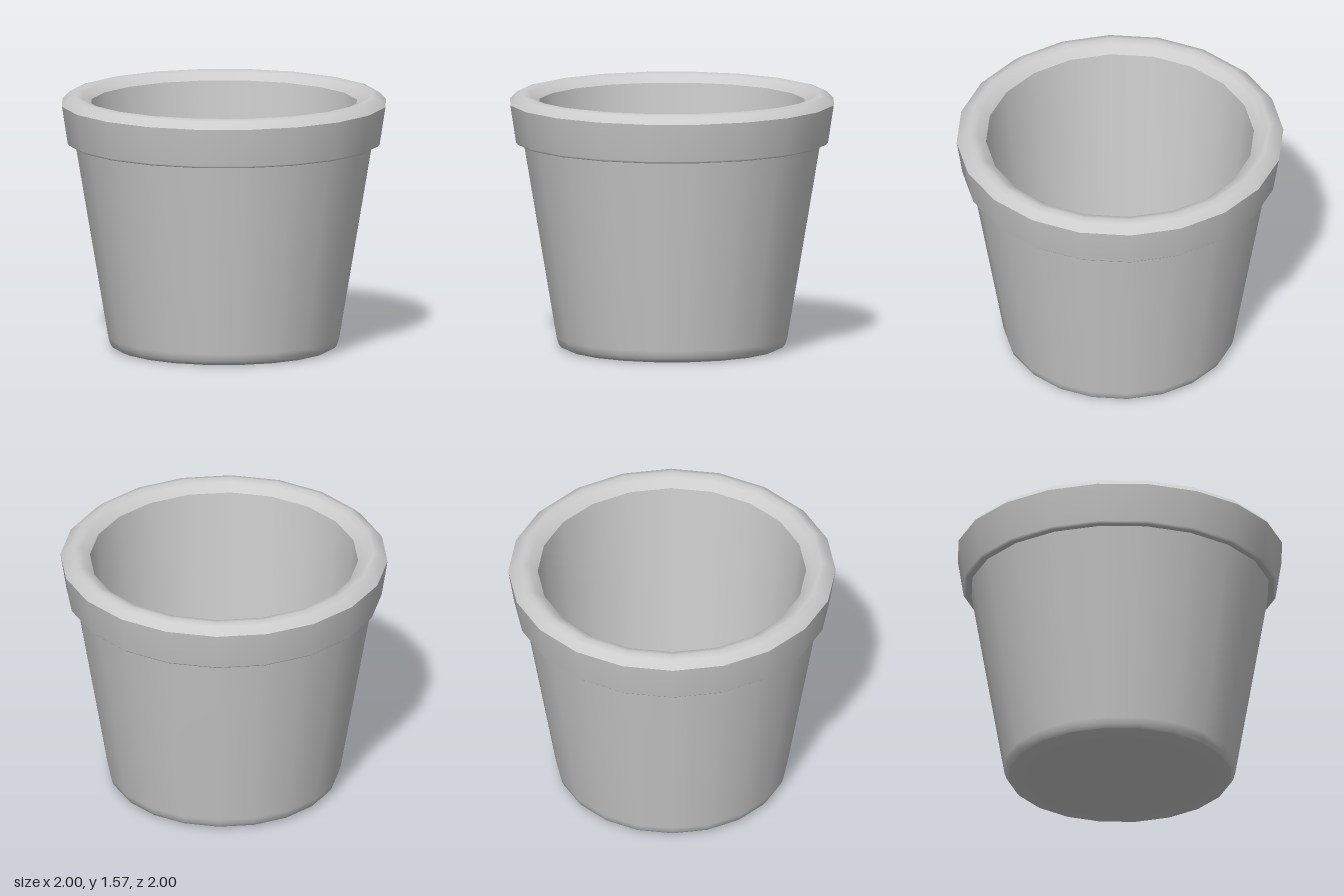
import * as THREE from 'three';

const SIDES = 20;
const FLOOR_Y = 0.1;
const material = new THREE.MeshStandardMaterial({ color: 0xcccccc });

// One smooth band of the pot; hard edges fall between bands.
function band(name, profile) {
  const points = profile.map(([r, y]) => new THREE.Vector2(r, y));
  const mesh = new THREE.Mesh(new THREE.LatheGeometry(points, SIDES), material);
  mesh.name = name;
  return mesh;
}

// The floor ring bulges slightly outwards on part of the back left.
function bulgeFloorRing(mesh) {
  const pos = mesh.geometry.attributes.position;
  for (let i = 0; i < pos.count; i++) {
    const x = pos.getX(i), y = pos.getY(i), z = pos.getZ(i);
    const angle = Math.atan2(-z, x);
    if (Math.abs(y - FLOOR_Y) < 1e-4 && angle > -0.05 && angle < 1.0) {
      pos.setXYZ(i, x * 1.047, y, z * 1.047);
    }
  }
  return mesh;
}

export function createModel() {
  const pot = new THREE.Group();
  pot.name = 'flowerPot';

  // Outside, from the base upwards
  pot.add(band('base', [[0, 0], [0.65, 0], [0.685, 0.015]]));
  pot.add(band('outerWall', [[0.685, 0.015], [0.7, 0.035], [0.713, 0.075], [0.915, 1.27]]));

  // Thick collar around the top
  pot.add(band('collarUnderside', [[0.915, 1.27], [0.95, 1.27]]));
  pot.add(band('collarSide', [[0.95, 1.27], [0.964, 1.283], [1, 1.515]]));
  pot.add(band('rim', [[1, 1.515], [0.955, 1.56], [0.915, 1.57], [0.87, 1.56], [0.82, 1.515]]));

  // Inside, down to the floor
  pot.add(bulgeFloorRing(band('innerWall', [[0.82, 1.515], [0.676, FLOOR_Y]])));
  pot.add(bulgeFloorRing(band('floor', [[0.676, FLOOR_Y], [0, FLOOR_Y]])));

  return pot;
}
